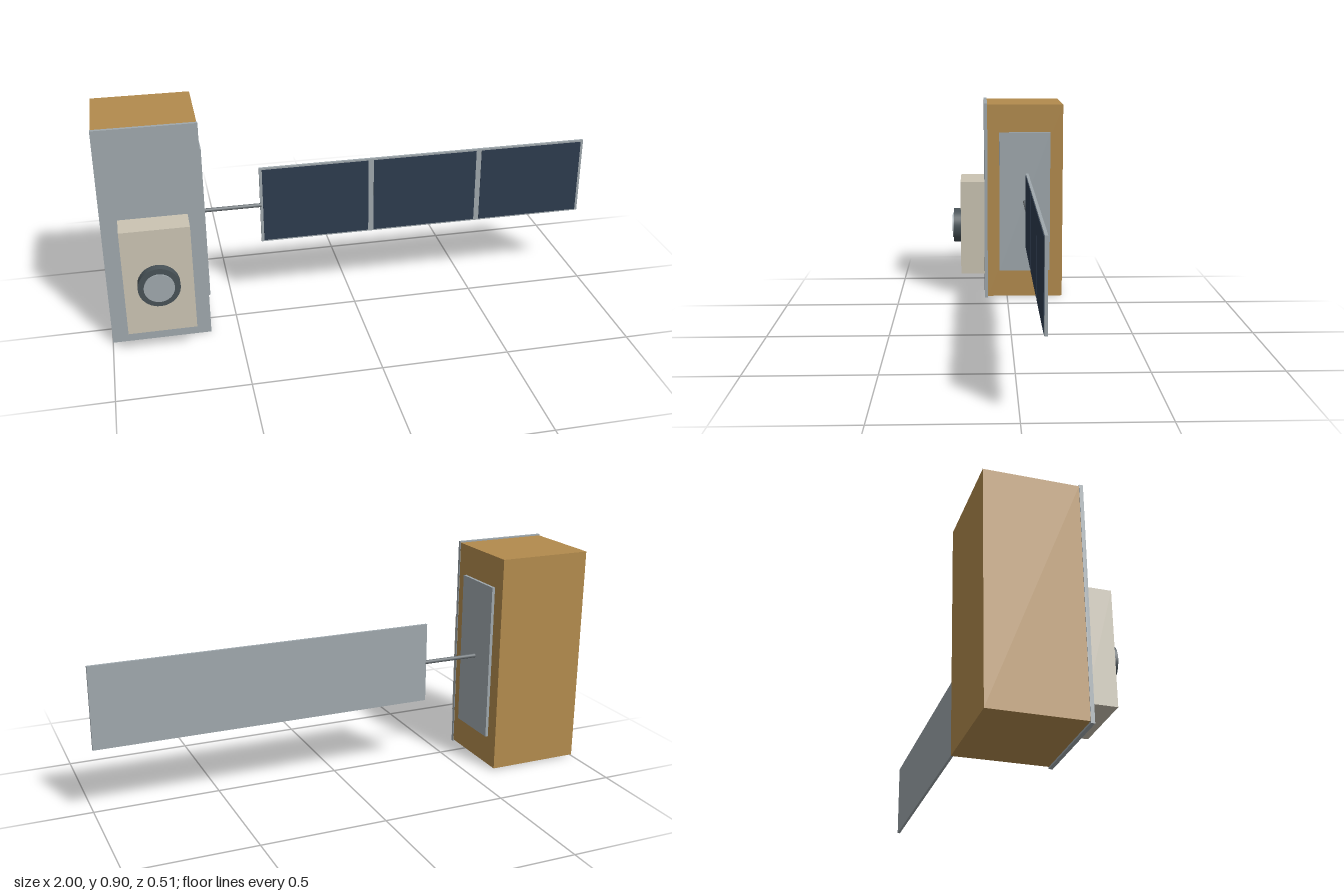
import * as THREE from 'three';

const material = (name, color) => {
  const m = new THREE.MeshStandardMaterial({ color });
  m.name = name;
  return m;
};

export function createModel() {
  const gold = material('gold foil', 0xb38b4d);
  const grey = material('grey metal', 0x9fa8ad);
  const beige = material('beige housing', 0xcbc4b3);
  const navy = material('solar cell blue', 0x2d3b4e);
  const dark = material('dark metal', 0x485257);
  const rodGrey = material('boom grey', 0x6b7276);

  const model = new THREE.Group();
  model.name = 'satellite';

  const add = (name, geometry, mat, x, y, z) => {
    const mesh = new THREE.Mesh(geometry, mat);
    mesh.name = name;
    mesh.position.set(x, y, z);
    model.add(mesh);
    return mesh;
  };
  // Box given by its lower and upper corners
  const box = (name, mat, [x0, y0, z0], [x1, y1, z1]) =>
    add(name, new THREE.BoxGeometry(x1 - x0, y1 - y0, z1 - z0), mat,
      (x0 + x1) / 2, (y0 + y1) / 2, (z0 + z1) / 2);

  // Main bus with its front plate and side radiator
  box('body', gold, [-0.998, 0.007, -0.254], [-0.614, 0.895, 0.09]);
  box('frontPlate', grey, [-1, 0, 0.09], [-0.612, 0.9, 0.104]);
  box('sideRadiator', grey, [-0.614, 0.13, -0.196], [-0.602, 0.77, 0.036]);

  // Instrument housing with a round aperture
  box('instrumentHousing', beige, [-0.935, 0.1, 0.104], [-0.672, 0.535, 0.214]);
  const barrel = new THREE.CylinderGeometry(0.08, 0.08, 0.034, 40).rotateX(Math.PI / 2);
  add('lensBarrel', barrel, dark, -0.804, 0.309, 0.231);
  const lens = new THREE.CylinderGeometry(0.058, 0.058, 0.006, 40).rotateX(Math.PI / 2);
  add('lens', lens, grey, -0.804, 0.309, 0.251);

  // Boom that carries the solar wing
  const boom = new THREE.CylinderGeometry(0.008, 0.008, 0.24, 16).rotateZ(Math.PI / 2);
  add('boom', boom, rodGrey, -0.488, 0.452, -0.08);

  // Solar wing: backing panel and three cell fields
  box('solarPanel', grey, [-0.372, 0.289, -0.086], [1, 0.615, -0.075]);
  for (let i = 0; i < 3; i++) {
    const x = -0.361 + i * 0.4575;
    box('solarCells' + (i + 1), navy, [x, 0.295, -0.075], [x + 0.435, 0.608, -0.073]);
  }

  return model;
}
